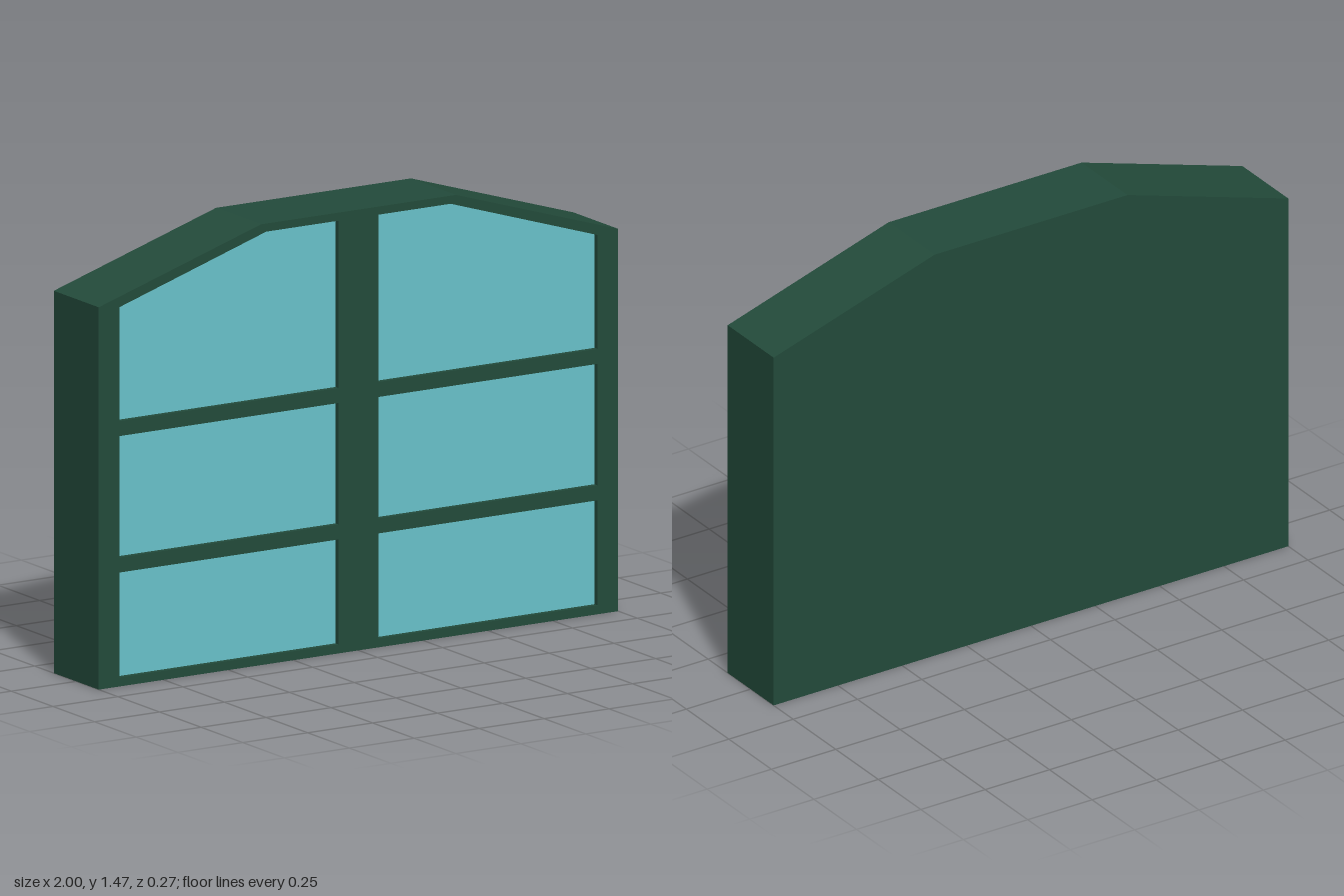
import * as THREE from 'three';

const HALF_DEPTH = 0.135; // half thickness of the whole window
const RECESS = 0.02;      // how far the glass sits behind the frame face

const toVectors = (points, side = 1) => points.map(([x, y]) => new THREE.Vector2(x * side, y));

export function createModel() {
  const green = new THREE.MeshStandardMaterial({ color: 0x234b3b });
  green.name = 'dark green';
  const blue = new THREE.MeshStandardMaterial({ color: 0x6ac3cc });
  blue.name = 'glass blue';

  const group = new THREE.Group();
  group.name = 'window';

  const add = (name, geometry, material, z) => {
    const mesh = new THREE.Mesh(geometry, material);
    mesh.name = name;
    mesh.position.z = z;
    group.add(mesh);
  };

  // Outer outline with sloping shoulders
  const outline = [[-1, 0], [1, 0], [1, 1.275], [0.375, 1.47], [-0.375, 1.47], [-1, 1.275]];

  // Pane outlines for one half, mirrored for the other
  const inner = 0.077, outer = 0.92;
  const panes = {
    lower: [[inner, 0.03], [outer, 0.03], [outer, 0.38], [inner, 0.38]],
    middle: [[inner, 0.43], [outer, 0.43], [outer, 0.835], [inner, 0.835]],
    upper: [[inner, 0.885], [outer, 0.885], [outer, 1.265], [0.355, 1.443], [inner, 1.443]],
  };

  // Solid body behind the glass
  const bodyDepth = 2 * HALF_DEPTH - RECESS;
  add('body', new THREE.ExtrudeGeometry(new THREE.Shape(toVectors(outline)),
    { depth: bodyDepth, bevelEnabled: false }), green, -HALF_DEPTH);

  // Front frame with six openings, and a glass face in each
  const frame = new THREE.Shape(toVectors(outline));
  for (const [side, label] of [[1, 'left'], [-1, 'right']]) {
    for (const [row, points] of Object.entries(panes)) {
      const corners = toVectors(points, side);
      frame.holes.push(new THREE.Path(corners));
      add(`${label} ${row} pane`, new THREE.ShapeGeometry(new THREE.Shape(corners)),
        blue, HALF_DEPTH - RECESS + 0.002);
    }
  }
  add('front frame', new THREE.ExtrudeGeometry(frame,
    { depth: RECESS, bevelEnabled: false }), green, HALF_DEPTH - RECESS);

  return group;
}
